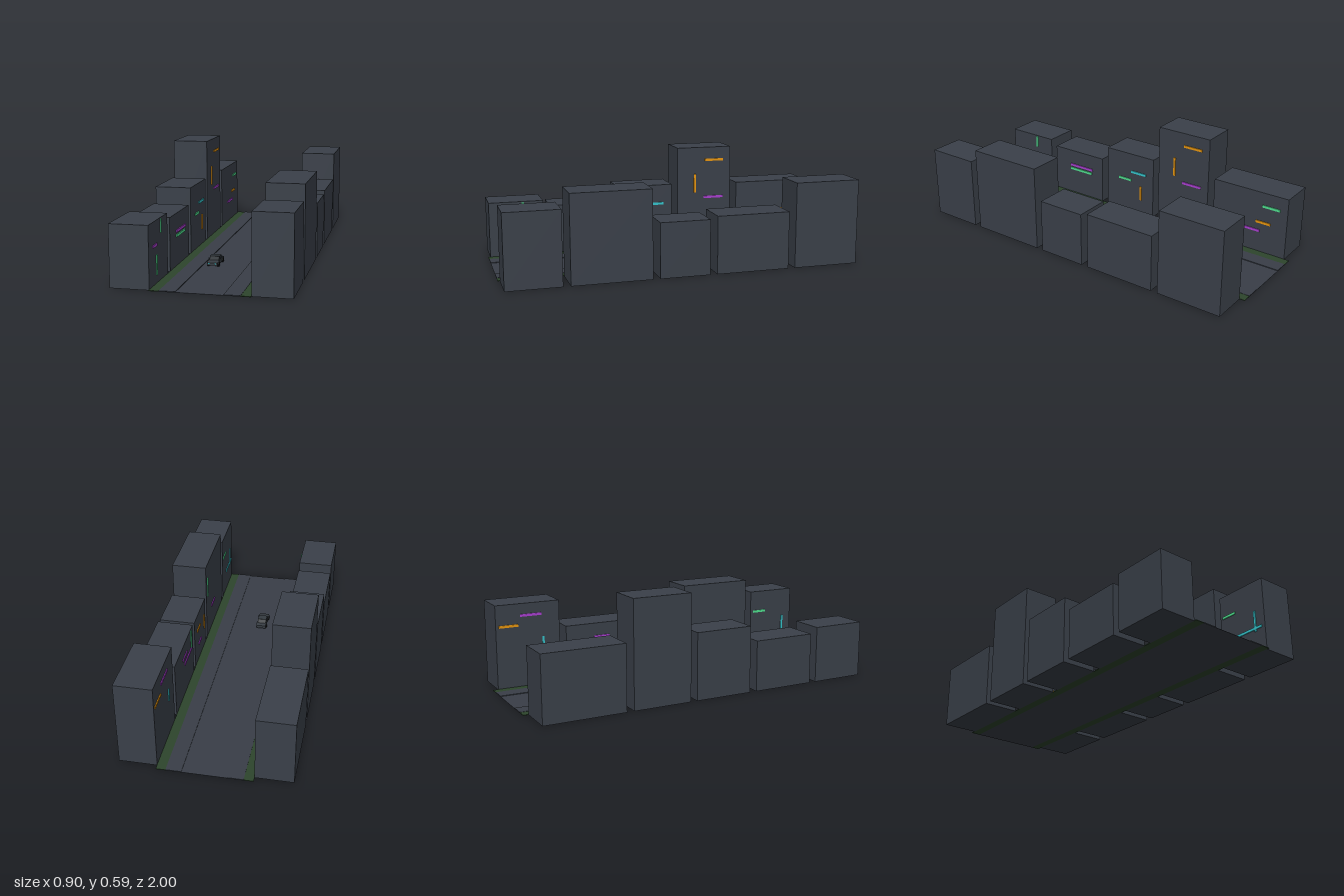
import * as THREE from 'three';

function paint(name, color) {
  const m = new THREE.MeshStandardMaterial({ color });
  m.name = name;
  return m;
}

export function createModel() {
  const mats = {
    concrete: paint('concrete', 0x3a4049),
    asphalt: paint('asphalt', 0x393e47),
    grass: paint('grass', 0x2d452c),
    orange: paint('orange neon', 0xe8960f),
    green: paint('green neon', 0x4fe08f),
    cyan: paint('cyan neon', 0x35c4cc),
    purple: paint('purple neon', 0xa93fd0),
    carBody: paint('car body', 0x353b41),
    rubber: paint('rubber', 0x17191b),
    glass: paint('glass', 0x23292e),
  };
  const model = new THREE.Group();
  model.name = 'neonStreet';

  // Box given by its limits on each axis
  function block(parent, name, mat, x0, x1, y0, y1, z0, z1) {
    const mesh = new THREE.Mesh(new THREE.BoxGeometry(x1 - x0, y1 - y0, z1 - z0), mat);
    mesh.position.set((x0 + x1) / 2, (y0 + y1) / 2, (z0 + z1) / 2);
    mesh.name = name;
    parent.add(mesh);
    return mesh;
  }

  // Road with a raised pavement and a grass verge on both sides
  block(model, 'road', mats.asphalt, -0.118, 0.118, 0, 0.0015, -1, 1);
  for (const s of [-1, 1]) {
    const span = (a, b) => (s > 0 ? [a, b] : [-b, -a]);
    block(model, 'pavement', mats.asphalt, ...span(0.118, 0.2), 0, 0.005, -1, 1);
    block(model, 'grassVerge', mats.grass, ...span(0.2, 0.25), 0, 0.0035, -1, 1);
  }

  // Buildings on each side: z from, z to, height
  const rows = [
    [-1, [[-0.97, -0.513, 0.364], [-0.472, -0.138, 0.589], [-0.1, 0.232, 0.373],
      [0.275, 0.636, 0.285], [0.677, 0.988, 0.318]]],
    [1, [[-0.97, -0.6, 0.475], [-0.56, -0.148, 0.319], [-0.107, 0.17, 0.304],
      [0.21, 0.648, 0.486], [0.688, 0.988, 0.407]]],
  ];
  for (const [side, row] of rows) {
    for (const [z0, z1, h] of row) {
      block(model, 'building', mats.concrete, side > 0 ? 0.25 : -0.45, side > 0 ? 0.45 : -0.25, 0, h, z0, z1);
    }
  }

  // Neon bars on the street walls; horizontal ones: side, colour, z from, z to, middle y
  const T = 0.005;
  function neon(side, color, z0, z1, y0, y1) {
    block(model, 'neonSign', mats[color], side > 0 ? 0.25 - T : -0.25, side > 0 ? 0.25 : -0.25 + T, y0, y1, z0, z1);
  }
  const bars = [
    [-1, 'orange', -0.426, -0.308, 0.512],
    [-1, 'purple', -0.425, -0.302, 0.284],
    [-1, 'green', -0.925, -0.82, 0.285],
    [-1, 'orange', -0.873, -0.785, 0.185],
    [-1, 'purple', -0.81, -0.67, 0.13],
    [-1, 'cyan', -0.048, 0.057, 0.26],
    [-1, 'green', 0.057, 0.145, 0.204],
    [-1, 'purple', 0.35, 0.52, 0.19],
    [-1, 'green', 0.355, 0.52, 0.165],
    [-1, 'purple', 0.86, 0.925, 0.198],
    [1, 'purple', -0.83, -0.707, 0.408],
    [1, 'orange', -0.953, -0.843, 0.354],
    [1, 'purple', -0.39, -0.295, 0.239],
    [1, 'purple', -0.355, -0.19, 0.193],
    [1, 'orange', -0.045, 0.03, 0.21],
    [1, 'purple', -0.014, 0.05, 0.105],
    [1, 'purple', 0.34, 0.43, 0.15],
    [1, 'green', 0.705, 0.793, 0.28],
    [1, 'cyan', 0.8, 0.967, 0.138],
  ];
  for (const [side, color, z0, z1, y] of bars) neon(side, color, z0, z1, y - 0.007, y + 0.007);

  // Vertical ones: side, colour, middle z, y from, y to
  const tubes = [
    [-1, 'orange', -0.246, 0.315, 0.427],
    [-1, 'orange', -0.013, 0.09, 0.178],
    [-1, 'green', 0.794, 0.243, 0.312],
    [-1, 'green', 0.864, 0.045, 0.145],
    [1, 'cyan', -0.698, 0.207, 0.278],
    [1, 'green', -0.194, 0.2, 0.31],
    [1, 'orange', 0.131, 0.12, 0.215],
    [1, 'green', 0.249, 0.272, 0.398],
    [1, 'cyan', 0.925, 0.12, 0.237],
  ];
  for (const [side, color, z, y0, y1] of tubes) neon(side, color, z - 0.006, z + 0.006, y0, y1);

  // Car facing the front
  const car = new THREE.Group();
  car.name = 'car';
  car.position.set(-0.06, 0, 0.43);
  model.add(car);

  // Side profile of [z, y] points swept across the width
  function swept(name, mat, points, width) {
    const shape = new THREE.Shape(points.map(([z, y]) => new THREE.Vector2(-z, y)));
    const geo = new THREE.ExtrudeGeometry(shape, { depth: width, bevelEnabled: false });
    geo.translate(0, 0, -width / 2).rotateY(Math.PI / 2);
    const mesh = new THREE.Mesh(geo, mat);
    mesh.name = name;
    car.add(mesh);
  }
  swept('carBody', mats.carBody, [[0.074, 0.01], [0.074, 0.024], [0.045, 0.03],
    [-0.06, 0.032], [-0.074, 0.028], [-0.074, 0.01]], 0.056);
  swept('windows', mats.glass, [[0.034, 0.03], [0.014, 0.046], [-0.03, 0.046], [-0.05, 0.031]], 0.05);
  block(car, 'roof', mats.carBody, -0.026, 0.026, 0.0445, 0.0475, -0.03, 0.014);

  const wheel = new THREE.CylinderGeometry(0.0125, 0.0125, 0.01, 16).rotateZ(Math.PI / 2);
  for (const s of [-1, 1]) {
    for (const z of [-0.046, 0.046]) {
      const mesh = new THREE.Mesh(wheel, mats.rubber);
      mesh.position.set(s * 0.027, 0.0125, z);
      mesh.name = 'wheel';
      car.add(mesh);
      block(car, 'fender', mats.carBody, s * 0.028 - 0.004, s * 0.028 + 0.004, 0.024, 0.0275, z - 0.014, z + 0.014);
    }
    block(car, 'mirror', mats.carBody, s * 0.03 - 0.004, s * 0.03 + 0.004, 0.035, 0.038, 0.018, 0.022);
    block(car, 'headlight', mats.cyan, s * 0.018 - 0.004, s * 0.018 + 0.004, 0.0185, 0.0225, 0.073, 0.0755);
  }
  return model;
}
